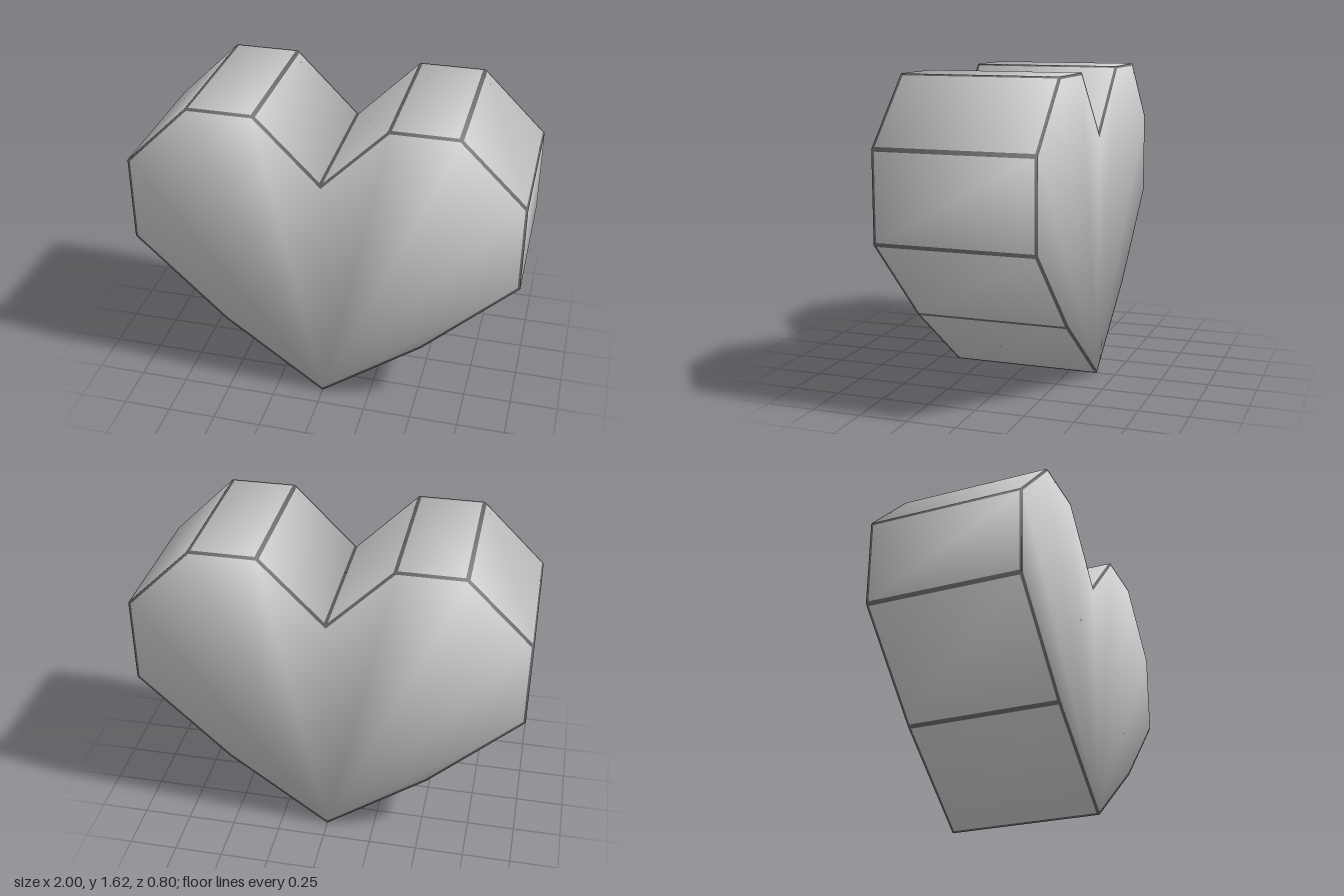
import * as THREE from 'three';

const DEPTH = 0.4; // half thickness
const LINE = 0.012; // width of the dark edge line on each face

// Heart outline, counter-clockwise from the bottom tip
const half = [[0.53, 0.39], [1, 0.84], [1, 1.29], [0.67, 1.615], [0.33, 1.615]];
const outline = [
  [0, 0], ...half, [0, 1.28],
  ...half.map(([x, y]) => [-x, y]).reverse(),
].map(([x, y]) => new THREE.Vector2(x, y));
const N = outline.length;

// Outward direction of the wall from corner i to corner i + 1
function wallNormal(i) {
  const e = outline[(i + 1) % N].clone().sub(outline[i % N]).normalize();
  return new THREE.Vector3(e.y, -e.x, 0);
}

// Soft corner: position with a normal blended from the cap and both walls
function corner(i, side) {
  const a = wallNormal(i + N - 1), b = wallNormal(i);
  const turn = Math.atan2(a.x * b.y - a.y * b.x, a.dot(b));
  const normal = a.clone().add(b).multiplyScalar(Math.PI / 2);
  normal.z = side * (Math.PI - turn);
  return {
    p: new THREE.Vector3(outline[i].x, outline[i].y, side * DEPTH),
    n: normal.normalize(),
  };
}

// Move every corner of a flat loop inward by d, keeping its soft normal
function inset(loop, faceNormal, d) {
  const inward = loop.map((c, i) => {
    const e = loop[(i + 1) % loop.length].p.clone().sub(c.p).normalize();
    return faceNormal.clone().cross(e);
  });
  return loop.map((c, i) => {
    const a = inward[(i + loop.length - 1) % loop.length], b = inward[i];
    const shift = a.clone().add(b).multiplyScalar(d / (1 + a.dot(b)));
    return { p: c.p.clone().add(shift), n: c.n };
  });
}

function toGeometry(corners) {
  const g = new THREE.BufferGeometry();
  g.setAttribute('position', new THREE.Float32BufferAttribute(corners.flatMap((c) => c.p.toArray()), 3));
  g.setAttribute('normal', new THREE.Float32BufferAttribute(corners.flatMap((c) => c.n.toArray()), 3));
  return g;
}

export function createModel() {
  const lightGrey = new THREE.MeshStandardMaterial({ color: 0xcccccc });
  lightGrey.name = 'light grey';
  const darkGrey = new THREE.MeshStandardMaterial({ color: 0x6a6a6a });
  darkGrey.name = 'dark grey';

  const body = [], edges = [];
  // One flat face: a fan in the middle and a narrow border around it
  function addFace(loop, faceNormal) {
    const inner = inset(loop, faceNormal, LINE);
    for (let i = 1; i < inner.length - 1; i++) body.push(inner[0], inner[i], inner[i + 1]);
    loop.forEach((c, i) => {
      const j = (i + 1) % loop.length;
      edges.push(c, loop[j], inner[j], c, inner[j], inner[i]);
    });
  }

  const front = outline.map((_, i) => corner(i, 1));
  const back = outline.map((_, i) => corner(i, -1));

  // Front and back caps, both fanned from the bottom tip
  addFace(front, new THREE.Vector3(0, 0, 1));
  addFace([back[0], ...back.slice(1).reverse()], new THREE.Vector3(0, 0, -1));

  // Walls around the outline
  for (let i = 0; i < N; i++) {
    const j = (i + 1) % N;
    addFace([front[i], back[i], back[j], front[j]], wallNormal(i));
  }

  const group = new THREE.Group();
  group.name = 'heart';
  const heartBody = new THREE.Mesh(toGeometry(body), lightGrey);
  heartBody.name = 'heartBody';
  const edgeLines = new THREE.Mesh(toGeometry(edges), darkGrey);
  edgeLines.name = 'edgeLines';
  group.add(heartBody, edgeLines);
  return group;
}
